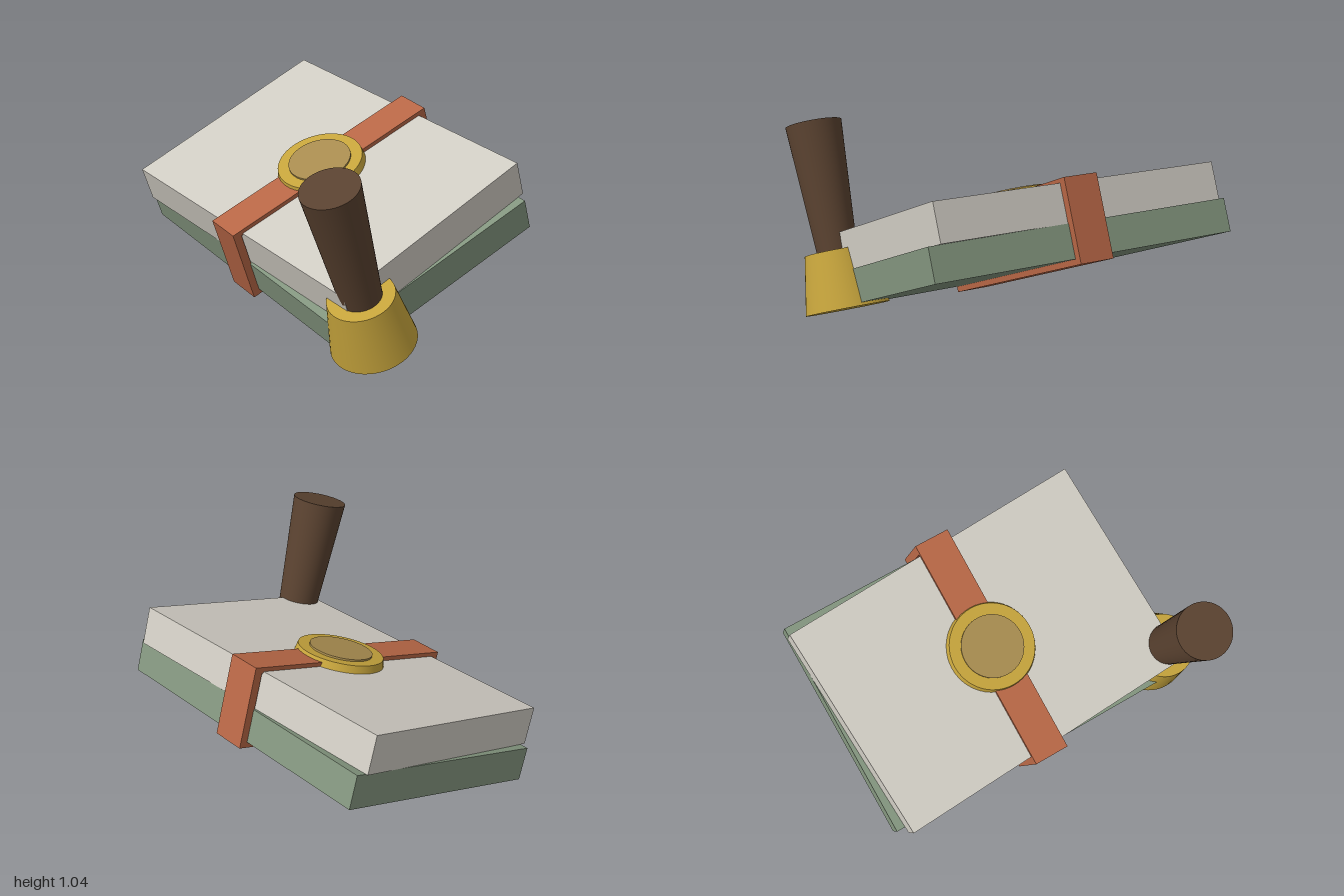
import * as THREE from 'three';

const mat = (name, color) => Object.assign(new THREE.MeshStandardMaterial({ color }), { name });

export function createModel() {
  const green = mat('sage green', 0x84967f);
  const grey = mat('pale stone', 0xd0ccc3);
  const rust = mat('rust strap', 0xb86746);
  const gold = mat('gold', 0xc6a43c);
  const bronze = mat('dull bronze', 0xa88c4f);
  const brown = mat('dark wood', 0x5a4230);

  const model = new THREE.Group();
  model.name = 'strappedSlabs';

  // Tilted frame shared by all parts; its origin is where the two slabs meet
  const body = new THREE.Group();
  body.name = 'tiltedBody';
  const up = new THREE.Vector3(-0.0494, 0.9525, 0.303).normalize();
  const side = new THREE.Vector3(0.96, -0.037, 0.276);
  side.addScaledVector(up, -side.dot(up)).normalize();
  const front = new THREE.Vector3().crossVectors(side, up);
  body.quaternion.setFromRotationMatrix(new THREE.Matrix4().makeBasis(side, up, front));
  body.position.set(-0.004, 0.418, -0.088);
  model.add(body);

  const add = (name, geometry, material, x, y, z) => {
    const mesh = new THREE.Mesh(geometry, material);
    mesh.name = name;
    mesh.position.set(x, y, z);
    body.add(mesh);
    return mesh;
  };
  const box = (name, material, w, h, d, x, y, z) =>
    add(name, new THREE.BoxGeometry(w, h, d), material, x, y, z);
  // Round part standing between two heights
  const round = (name, material, rTop, rBottom, y0, y1, x, z) =>
    add(name, new THREE.CylinderGeometry(rTop, rBottom, y1 - y0, 48), material, x, (y0 + y1) / 2, z);

  // Two slabs, the upper one turned slightly
  box('lowerSlab', green, 1.73, 0.175, 1.2, 0, -0.0875, 0);
  box('upperSlab', grey, 1.695, 0.2, 1.18, 0, 0.1, 0).rotation.y = THREE.MathUtils.degToRad(3);

  // Strap wrapped around both slabs
  box('strapTop', rust, 0.19, 0.03, 1.28, 0, 0.207, 0);
  box('strapBottom', rust, 0.19, 0.03, 1.28, 0, -0.19, 0);
  for (const s of [1, -1]) {
    box(s > 0 ? 'strapFront' : 'strapBack', rust, 0.19, 0.37, 0.045, 0, 0.0085, s * 0.6175);
  }

  // Round clasp on the strap
  round('clasp', gold, 0.225, 0.237, 0.19, 0.24, 0, 0);
  round('claspFace', bronze, 0.165, 0.165, 0.23, 0.25, 0, 0);

  // Flared socket and handle at the front left corner
  round('socket', gold, 0.169, 0.218, -0.19, 0.113, 0.85, 0.44);
  round('handle', brown, 0.146, 0.104, 0.1, 0.786, 0.85, 0.44);

  return model;
}
